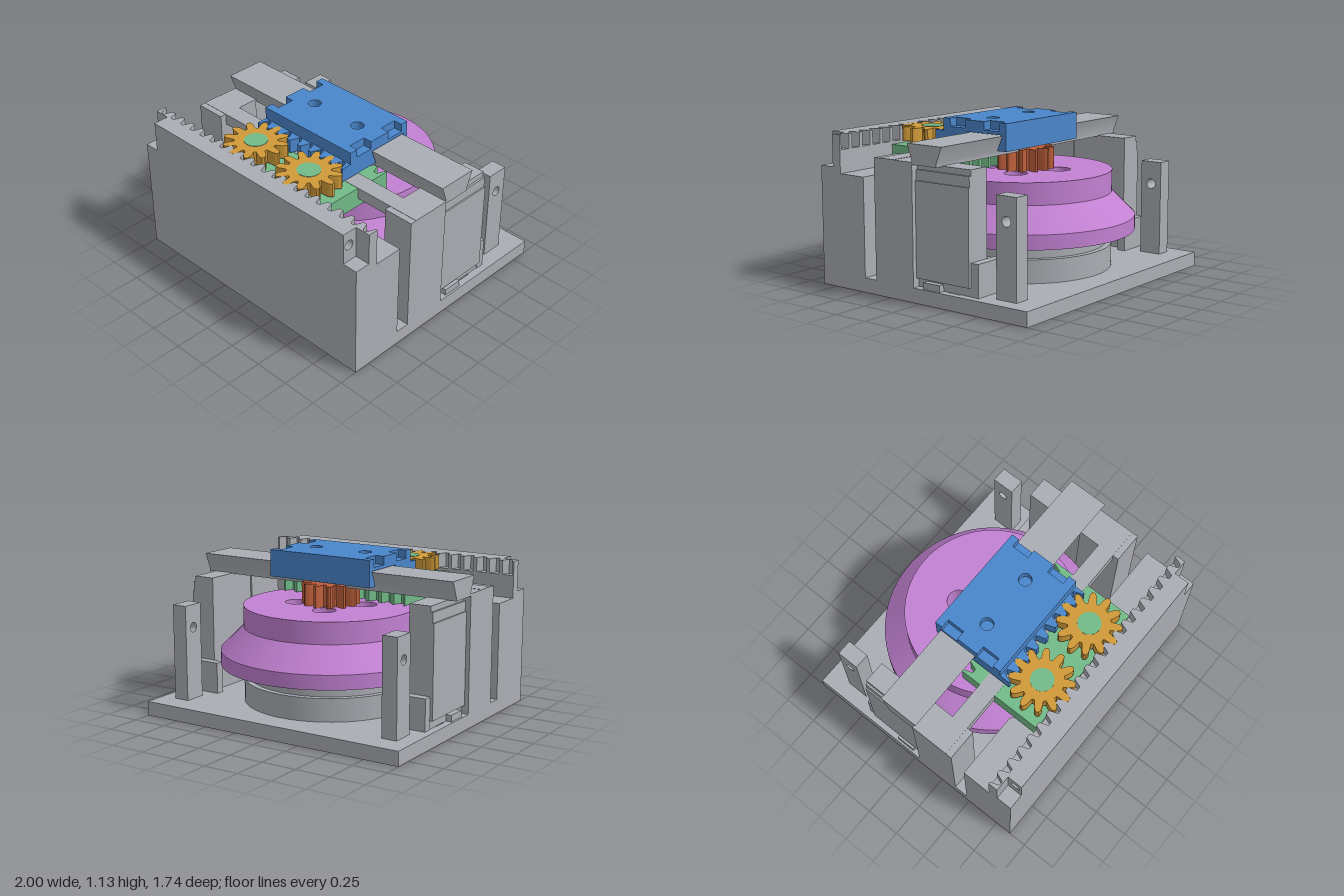
import * as THREE from 'three';
import { toCreasedNormals } from 'three/addons/utils/BufferGeometryUtils.js';

const mat = (name, color) => Object.assign(new THREE.MeshStandardMaterial({ color }), { name });

export function createModel() {
  const grey = mat('frame grey', 0xaaadb3);
  const purple = mat('turntable purple', 0xc281d2);
  const blue = mat('carriage blue', 0x4a86cc);
  const orange = mat('gear orange', 0xd09a38);
  const green = mat('slider green', 0x72ba88);
  const red = mat('pinion red', 0xc0603c);
  const model = new THREE.Group();
  const CZ = -0.09; // turntable axis

  const add = (name, geo, material) => {
    const m = new THREE.Mesh(geo, material);
    m.name = name;
    model.add(m);
    return m;
  };
  // box given by its limits
  const box = (name, material, x0, x1, y0, y1, z0, z1) => {
    const g = new THREE.BoxGeometry(x1 - x0, y1 - y0, z1 - z0);
    g.translate((x0 + x1) / 2, (y0 + y1) / 2, (z0 + z1) / 2);
    return add(name, g, material);
  };
  const mirrorBox = (name, material, x0, x1, ...r) => {
    box(name + 'Left', material, x0, x1, ...r);
    box(name + 'Right', material, -x1, -x0, ...r);
  };
  const outline = (pts) => new THREE.Shape(pts.map(([a, b]) => new THREE.Vector2(a, b)));
  const circle = (x, y, r) => new THREE.Path().absarc(x, y, r, 0, Math.PI * 2);
  const disc = (r) => new THREE.Shape().absarc(0, 0, r, 0, Math.PI * 2);
  const rect = (x0, x1, y0, y1) => outline([[x0, y0], [x1, y0], [x1, y1], [x0, y1]]);
  const extrude = (shape, depth, seg = 24) =>
    toCreasedNormals(new THREE.ExtrudeGeometry(shape, { depth, bevelEnabled: false, curveSegments: seg }), 0.5);
  // plan outline (x, -z) raised from y0 to y1
  const prismY = (name, material, shape, y0, y1, seg) =>
    add(name, extrude(shape, y1 - y0, seg).rotateX(-Math.PI / 2).translate(0, y0, 0), material);
  // side outline (-z, y) stretched from x0 to x1
  const prismX = (name, material, shape, x0, x1) =>
    add(name, extrude(shape, x1 - x0).rotateY(Math.PI / 2).translate(x0, 0, 0), material);

  // toothed bar in plan, teeth every 0.1 running from root to tip
  const rack = (half, tip, root, back) => {
    const pts = [[-half, -root]];
    const n = Math.round(half * 10);
    for (let i = -n; i <= n; i++)
      for (const [dx, z] of [[-0.036, root], [-0.014, tip], [0.014, tip], [0.036, root]])
        pts.push([THREE.MathUtils.clamp(i * 0.1 + dx, -half, half), -z]);
    pts.push([half, -root], [half, -back], [-half, -back]);
    return outline(pts.filter((p, i) => i === 0 || Math.hypot(p[0] - pts[i - 1][0], p[1] - pts[i - 1][1]) > 1e-6));
  };
  // spur gear outline with 12 teeth
  const gear = (root, tip) => {
    const pts = [];
    for (let i = 0; i < 12; i++) {
      const a = (i * Math.PI) / 6, mid = (root + tip) / 2 + 0.01;
      for (const [r, da] of [[root, -0.2], [mid, -0.13], [tip - 0.008, -0.08], [tip, -0.04],
        [tip, 0.04], [tip - 0.008, 0.08], [mid, 0.13], [root, 0.2]])
        pts.push([r * Math.cos(a + da), r * Math.sin(a + da)]);
    }
    return outline(pts);
  };

  // base plate with screw holes, slots and a rectangular opening
  const plate = rect(-1, 1, -0.87, 0.87);
  plate.holes.push(circle(0, -CZ, 0.075));
  for (let i = 0; i < 4; i++) {
    const a = Math.PI / 4 + (i * Math.PI) / 2;
    plate.holes.push(circle(0.24 * Math.cos(a), -CZ + 0.24 * Math.sin(a), 0.07));
  }
  plate.holes.push(rect(-0.24, 0.24, 0.36, 0.5));
  for (const s of [-1, 1]) {
    plate.holes.push(rect(s * 0.88 - 0.07, s * 0.88 + 0.07, 0.2, 0.3));
    plate.holes.push(rect(s * 0.76 - 0.05, s * 0.76 + 0.05, -0.1, -0.07));
  }
  prismY('basePlate', grey, plate, 0, 0.1);

  // pedestal below the turntable
  add('pedestalFoot', new THREE.CylinderGeometry(0.6, 0.6, 0.16, 64).translate(0, 0.18, CZ), grey);
  add('pedestalTop', new THREE.CylinderGeometry(0.56, 0.56, 0.1, 64).translate(0, 0.31, CZ), grey);

  // turntable: drilled core, drilled flange and sloped shoulder
  const core = disc(0.6);
  for (let i = 0; i < 4; i++) {
    const a = 0.39 + (i * Math.PI) / 2;
    core.holes.push(circle(0.24 * Math.cos(a), 0.24 * Math.sin(a), 0.08));
    const pin = new THREE.CylinderGeometry(0.045, 0.045, 0.06, 24);
    add('lockPin', pin.translate(0.24 * Math.cos(a), 0.39, CZ - 0.24 * Math.sin(a)), grey);
  }
  prismY('turntableCore', purple, core, 0.36, 0.77, 40).position.z += CZ;
  const flange = disc(0.76);
  flange.holes.push(circle(0, 0, 0.59));
  for (let i = 0; i < 8; i++) {
    const a = (i * Math.PI) / 4 + 0.15;
    flange.holes.push(circle(0.67 * Math.cos(a), 0.67 * Math.sin(a), 0.06));
  }
  prismY('turntableFlange', purple, flange, 0.36, 0.46, 40).position.z += CZ;
  const shoulder = [[0.58, 0.455], [0.76, 0.46], [0.6, 0.62]].map(([x, y]) => new THREE.Vector2(x, y));
  add('turntableShoulder', toCreasedNormals(new THREE.LatheGeometry(shoulder, 80), 0.5), purple).position.z = CZ;
  prismY('pinion', red, gear(0.135, 0.2), 0.77, 0.92).position.set(0, 0.77, CZ);

  // front wall, hollowed round the turntable
  const R = 0.775, end = Math.acos((0.48 - CZ) / R);
  const wall = [[-1, -0.87], [1, -0.87], [1, -0.48]];
  for (let i = 0; i <= 24; i++) {
    const a = end - (2 * end * i) / 24;
    wall.push([R * Math.sin(a), -CZ - R * Math.cos(a)]);
  }
  wall.push([-1, -0.48]);
  prismY('frontWall', grey, outline(wall), 0.1, 0.78);
  box('frontWallLedge', grey, -1, 1, 0.78, 0.82, 0.69, 0.87);
  box('frontWallBack', grey, -1, 1, 0.82, 0.94, 0.69, 0.76);
  box('frontWallTop', grey, -0.74, 0.74, 0.82, 1.04, 0.76, 0.87);
  const lug = rect(-0.87, -0.76, 0.82, 1.04);
  lug.holes.push(circle(-0.82, 0.94, 0.034));
  prismX('wallEndLeft', grey, lug, 0.74, 0.89);
  prismX('wallEndRight', grey, lug, -0.89, -0.74);
  prismY('fixedRack', grey, rack(1, 0.69, 0.75, 0.76), 0.94, 1.04);

  // side supports
  mirrorBox('sideWall', grey, 0.78, 1, 0.1, 0.92, 0.05, 0.38);
  mirrorBox('railColumn', grey, 0.79, 0.945, 0.1, 0.91, -0.39, 0.05);
  mirrorBox('columnPanel', grey, 0.945, 0.97, 0.16, 0.8, -0.39, 0.05);
  mirrorBox('columnBand', grey, 0.945, 0.96, 0.8, 0.87, -0.39, 0.05);
  mirrorBox('columnFoot', grey, 0.945, 0.985, 0.1, 0.145, -0.16, -0.02);
  mirrorBox('columnBracket', grey, 0.72, 0.95, 0.1, 0.32, -0.45, -0.39);

  // rear posts with cross holes
  const post = rect(0.545, 0.705, 0.1, 0.765);
  post.holes.push(circle(0.625, 0.605, 0.034));
  prismX('rearPostLeft', grey, post, 0.78, 0.89);
  prismX('rearPostRight', grey, post, -0.89, -0.78);

  // dovetail rail and cross beam
  prismX('dovetailRail', grey, outline([[-0.05, 0.905], [0.155, 0.905], [0.155, 0.93], [0.2, 1.04],
    [-0.09, 1.04], [-0.05, 0.93]]), -1, 1);
  box('crossBeam', grey, -1, 1, 0.84, 0.922, 0.21, 0.335);

  // green slider with its rack and gear shafts
  box('sliderBody', green, -0.5, 0.5, 0.78, 0.92, 0.335, 0.685);
  box('sliderBridge', green, -0.5, 0.5, 0.78, 0.84, 0.2, 0.34);
  prismY('sliderRack', green, rack(0.5, 0.06, 0.12, 0.21), 0.78, 0.915);

  // planet gears on the shafts
  for (const s of [-1, 1]) {
    prismY('planetGear', orange, gear(0.145, 0.22), 0.94, 1.04).position.set(s * 0.25, 0.94, 0.53);
    add('gearShaft', new THREE.CylinderGeometry(0.08, 0.08, 0.125, 32).translate(s * 0.25, 0.98, 0.53), green);
  }

  // sliding carriage: dovetail body, notched top plate and rack
  prismX('carriageBody', blue, outline([[-0.3, 0.94], [-0.06, 0.94], [-0.1, 1.047], [0.21, 1.047],
    [0.165, 0.94], [0.24, 0.94], [0.24, 1.07], [-0.3, 1.07]]), -0.4, 0.4);
  const edge = [[0.4, -0.3], [0.4, -0.24], [0.335, -0.24], [0.335, -0.11], [0.4, -0.11],
    [0.4, 0.055], [0.335, 0.055], [0.335, 0.185], [0.4, 0.185], [0.4, 0.24]];
  const top = outline([...edge, ...edge.map(([x, y]) => [-x, y]).reverse()]);
  top.holes.push(circle(0.2, -0.03, 0.045), circle(-0.2, -0.03, 0.045));
  prismY('carriageTop', blue, top, 1.07, 1.127);
  prismY('carriageRack', blue, rack(0.4, 0.375, 0.31, 0.29), 0.94, 1.04);

  // prisms placed by position were raised already, so reset their height
  model.traverse((m) => { if (m.name === 'pinion' || m.name === 'planetGear') m.position.y = 0; });
  return model;
}
